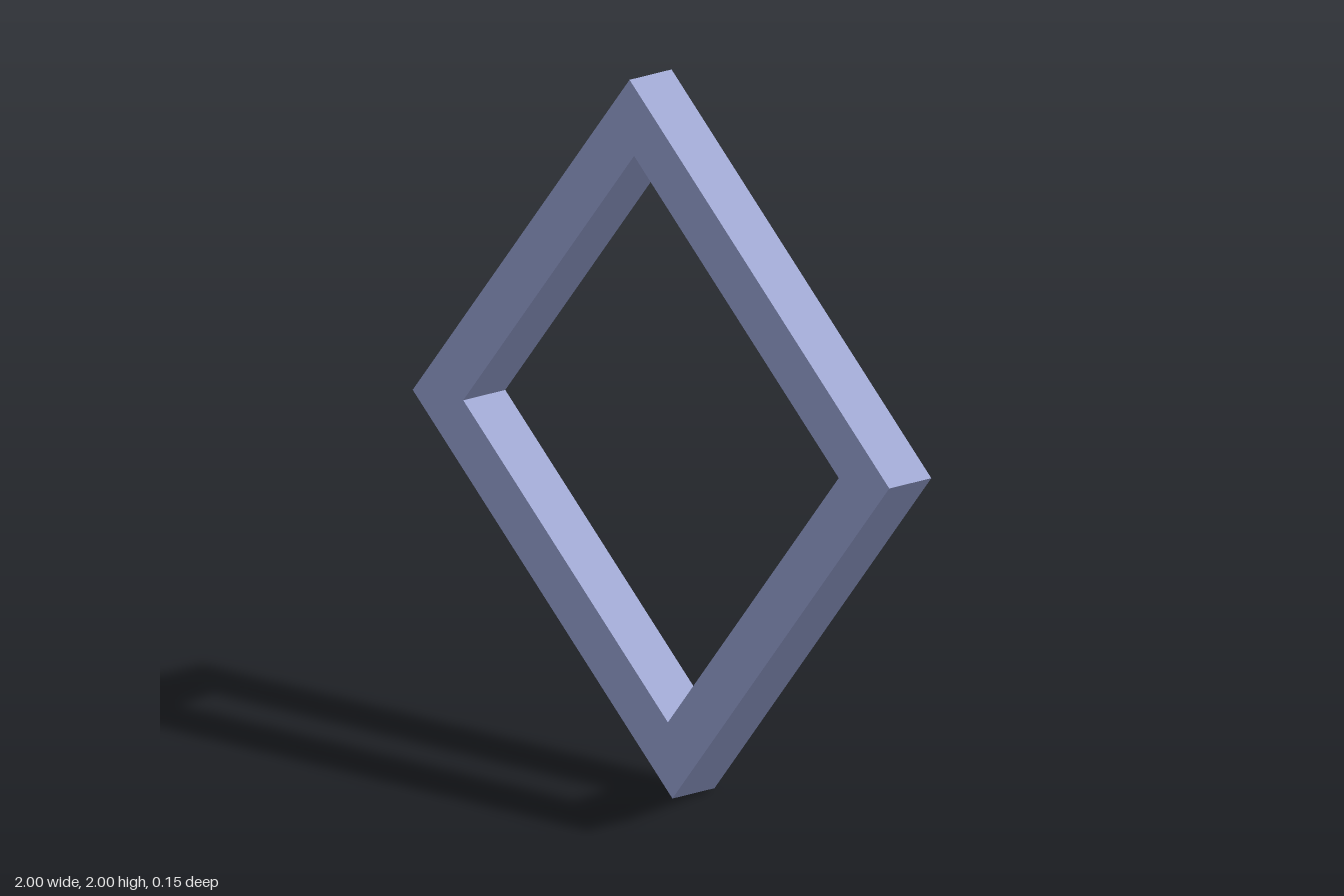
import * as THREE from 'three';

export function createModel() {
  const group = new THREE.Group();
  const depth = 0.15;

  // Square corners around the frame's centre; the square is slightly turned from a diamond
  const corners = (scale) =>
    [[-0.09, 1], [-1, -0.09], [0.09, -1], [1, 0.09]].map(
      ([x, y]) => new THREE.Vector2(x * scale, y * scale)
    );

  // Flat frame with a square opening
  const outline = new THREE.Shape(corners(1));
  outline.holes.push(new THREE.Path(corners(0.788).reverse()));
  const geometry = new THREE.ExtrudeGeometry(outline, { depth, bevelEnabled: false });
  geometry.translate(0, 1, -depth / 2);

  const frame = new THREE.Mesh(
    geometry,
    new THREE.MeshStandardMaterial({ color: 0x8c96c4, flatShading: true })
  );
  frame.name = 'squareFrame';
  group.add(frame);
  return group;
}
